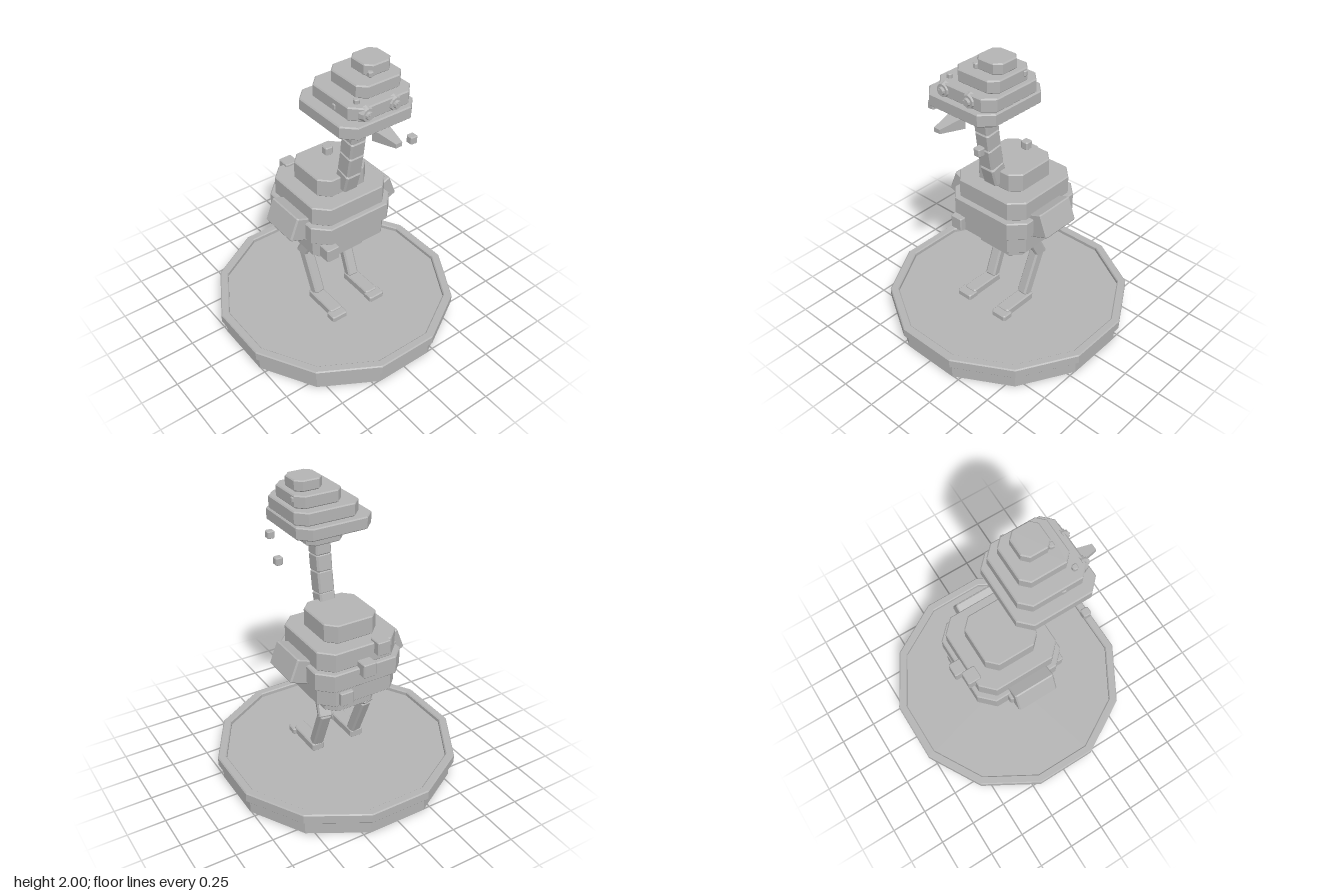
import * as THREE from 'three';

const material = new THREE.MeshStandardMaterial({ color: 0xb4b4b4, flatShading: true });
material.name = 'plain grey';

function add(parent, name, geometry, x = 0, y = 0, z = 0) {
  const mesh = new THREE.Mesh(geometry, material);
  mesh.name = name;
  mesh.position.set(x, y, z);
  parent.add(mesh);
  return mesh;
}

// Octagon-cornered block with a fine bevel, centred on its origin
function blockGeometry(w, h, d, cut, bevel = 0.007) {
  const a = w / 2 - bevel, b = d / 2 - bevel;
  const shape = new THREE.Shape([
    [a - cut, -b], [a, -b + cut], [a, b - cut], [a - cut, b],
    [-a + cut, b], [-a, b - cut], [-a, -b + cut], [-a + cut, -b],
  ].map(([x, y]) => new THREE.Vector2(x, y)));
  const geo = new THREE.ExtrudeGeometry(shape, {
    depth: h - 2 * bevel, bevelEnabled: true, bevelSize: bevel, bevelThickness: bevel, bevelSegments: 1,
  });
  geo.translate(0, 0, -h / 2 + bevel);
  geo.rotateX(-Math.PI / 2);
  return geo;
}

// Slab given by its extents
function slab(parent, name, [x0, x1], [y0, y1], [z0, z1], cut) {
  add(parent, name, blockGeometry(x1 - x0, y1 - y0, z1 - z0, cut),
    (x0 + x1) / 2, (y0 + y1) / 2, (z0 + z1) / 2);
}

// Beam whose length runs from one point to another
function beam(parent, name, from, to, w, d) {
  const a = new THREE.Vector3(...from), b = new THREE.Vector3(...to);
  const dir = b.clone().sub(a);
  const mesh = add(parent, name, blockGeometry(w, dir.length(), d, 0.007));
  mesh.position.copy(a).add(b).multiplyScalar(0.5);
  mesh.quaternion.setFromUnitVectors(new THREE.Vector3(0, 1, 0), dir.normalize());
}

function cube(parent, name, size, [x, y, z]) {
  add(parent, name, blockGeometry(size, size, size, 0.005, 0.005), x, y, z);
}

export function createModel() {
  const model = new THREE.Group();
  model.name = 'blockBird';

  // Twelve-sided stand with a raised rim
  const k = 1 / Math.cos(Math.PI / 12);
  const profile = [
    [0, 0], [0.755, 0], [0.755, 0.1], [0.778, 0.1], [0.784, 0.107], [0.784, 0.163],
    [0.777, 0.17], [0.735, 0.17], [0.728, 0.163], [0.728, 0.14], [0, 0.14],
  ].map(([r, y]) => new THREE.Vector2(r * k, y));
  add(model, 'stand', new THREE.LatheGeometry(profile, 12, Math.PI / 12));

  // Stacked body
  const body = new THREE.Group();
  body.name = 'body';
  model.add(body);
  [
    [0.187, 0.565, 0.685, 0.187, 0.06], [0.284, 0.685, 0.81, 0.285, 0.08],
    [0.31, 0.81, 0.935, 0.312, 0.085], [0.284, 0.935, 1.065, 0.285, 0.08],
    [0.187, 1.065, 1.19, 0.187, 0.06],
  ].forEach(([w, y0, y1, d, cut]) =>
    slab(body, 'bodyLayer', [-w, w], [y0, y1], [-0.048 - d, -0.048 + d], cut));

  // Loose tufts on the body
  [
    [-0.21, 0.74, 0.23], [-0.12, 1.035, -0.335], [0, 0.93, -0.365],
    [0.13, 0.74, -0.315], [-0.3, 0.87, -0.14],
  ].forEach((p) => cube(body, 'bodyTuft', 0.092, p));

  // Neck
  const neck = [[0, 1.6, 0.202], [0, 1.48, 0.19], [0, 1.37, 0.176], [0, 1.228, 0.153], [0, 1.1, 0.118]];
  for (let i = 0; i < neck.length - 1; i++) beam(model, 'neckSegment', neck[i], neck[i + 1], 0.11, 0.112);

  // Stepped head
  const head = new THREE.Group();
  head.name = 'head';
  model.add(head);
  slab(head, 'chin', [-0.13, 0.13], [1.575, 1.685], [0.09, 0.31], 0.04);
  slab(head, 'headBase', [-0.262, 0.262], [1.685, 1.765], [-0.06, 0.466], 0.07);
  slab(head, 'headMiddle', [-0.19, 0.255], [1.765, 1.85], [-0.016, 0.435], 0.06);
  slab(head, 'headUpper', [-0.095, 0.227], [1.85, 1.93], [0.045, 0.37], 0.045);
  slab(head, 'headCrown', [0.005, 0.195], [1.93, 2.0], [0.11, 0.3], 0.035);
  [[-0.12, 1.86, 0.36], [0.025, 1.95, 0.295], [0.22, 1.9, 0.11], [-0.18, 1.8, 0.25]]
    .forEach((p) => cube(head, 'headTuft', 0.034, p));

  // Eyes
  for (const x of [-0.1, 0.097]) {
    const eye = new THREE.Group();
    eye.name = 'eye';
    eye.position.set(x, 1.805, 0.43);
    head.add(eye);
    add(eye, 'eyeball', new THREE.CylinderGeometry(0.04, 0.053, 0.03, 10).rotateX(Math.PI / 2));
    add(eye, 'pupil', new THREE.CylinderGeometry(0.022, 0.026, 0.018, 10).rotateX(Math.PI / 2), 0, 0, 0.022);
    add(eye, 'glint', new THREE.BoxGeometry(0.01, 0.01, 0.008), -0.008, 0.009, 0.033);
  }

  // Tapered beak
  const beak = new THREE.CylinderGeometry(0.5, 1, 1, 4);
  beak.rotateY(Math.PI / 4).rotateX(Math.PI / 2);
  beak.scale(0.077, 0.054, 0.168);
  const bp = beak.attributes.position;
  for (let i = 0; i < bp.count; i++) if (bp.getZ(i) > 0) bp.setXYZ(i, bp.getX(i) * 0.8, bp.getY(i) * 0.7, bp.getZ(i));
  add(head, 'beak', beak, 0, 1.648, 0.506);

  for (const s of [-1, 1]) {
    // Wings
    const wing = add(model, 'wing', blockGeometry(0.2, 0.16, 0.282, 0.006), s * 0.3, 0.882, -0.025);
    wing.rotation.z = s * 0.37;

    // Legs and feet
    const leg = new THREE.Group();
    leg.name = 'leg';
    model.add(leg);
    beam(leg, 'thigh', [s * 0.14, 0.65, -0.045], [s * 0.155, 0.48, -0.127], 0.092, 0.08);
    beam(leg, 'shin', [s * 0.152, 0.49, -0.115], [s * 0.146, 0.19, 0.008], 0.076, 0.07);
    slab(leg, 'foot', [s * 0.15 - 0.046, s * 0.15 + 0.046], [0.138, 0.195], [-0.032, 0.228], 0.006);
    slab(leg, 'toes', [s * 0.157 - 0.058, s * 0.157 + 0.058], [0.138, 0.183], [0.2, 0.28], 0.006);
  }

  // Drifting cubes around the head
  [[-0.3, 1.605, 0.336], [0.205, 1.545, 0.47], [0.3, 1.5, 0.18]]
    .forEach((p) => cube(model, 'driftingCube', 0.05, p));

  return model;
}
